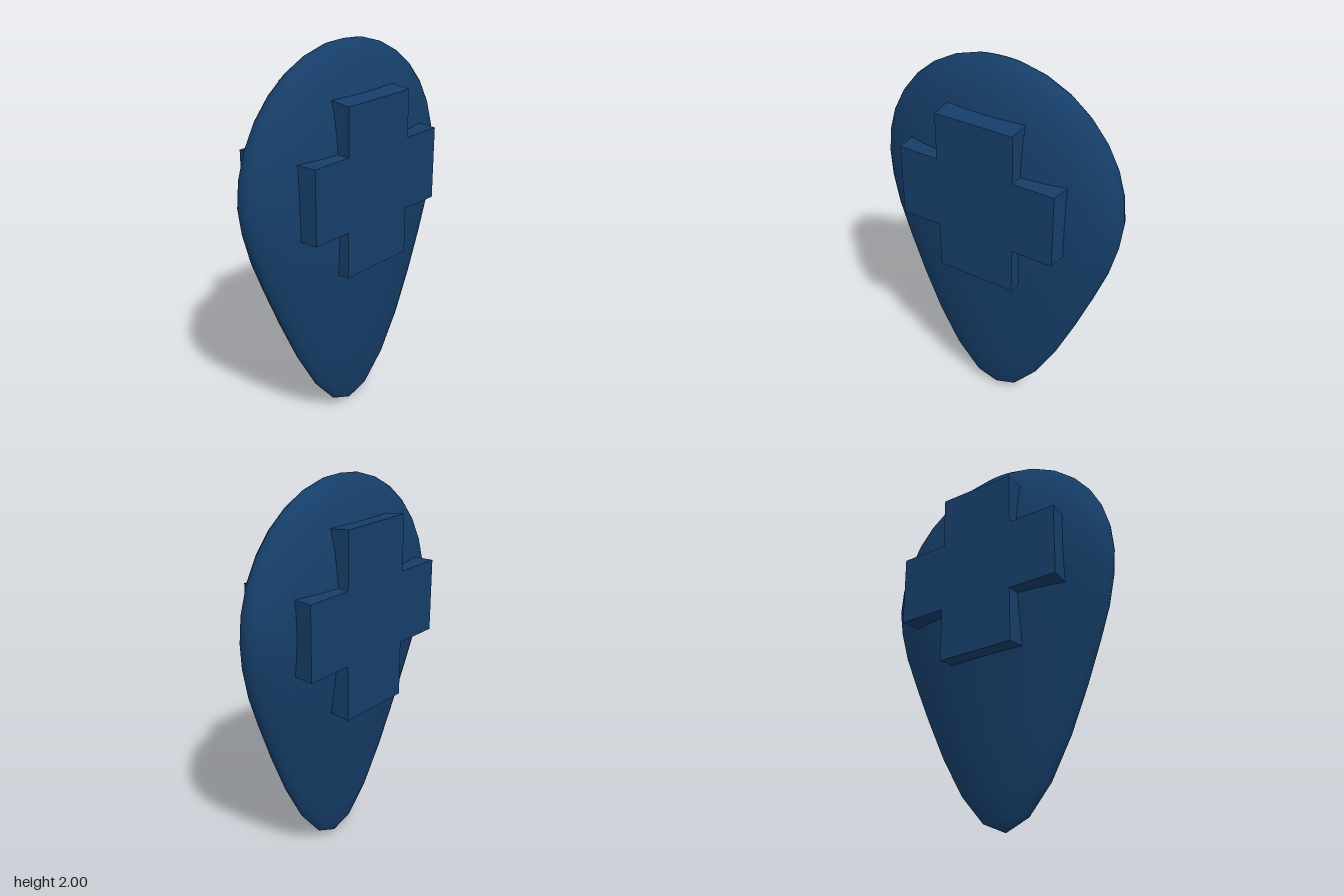
import * as THREE from 'three';
import { mergeVertices } from 'three/addons/utils/BufferGeometryUtils.js';

const CENTER_Y = 1.32;
const RADIUS = 0.68;

// Flattened sphere whose lower half is drawn out to a rounded tip that drifts forward
function createBody(material) {
  let geometry = new THREE.SphereGeometry(RADIUS, 32, 16);
  geometry.deleteAttribute('uv');
  geometry.deleteAttribute('normal');
  geometry = mergeVertices(geometry, 1e-4);

  // Heights of the rings from the widest one down to the tip
  const lower = [1.32, 1.19, 1.03, 0.86, 0.65, 0.42, 0.21, 0.06, 0];
  const p = geometry.attributes.position;
  for (let i = 0; i < p.count; i++) {
    let y = p.getY(i) + CENTER_Y;
    let shift = -0.004;
    if (p.getY(i) < -1e-4) {
      const ring = Math.round(Math.asin(Math.min(1, -p.getY(i) / RADIUS)) / (Math.PI / 16));
      y = lower[ring];
      shift = -0.004 + 0.044 * Math.sin((1 - y / CENTER_Y) * Math.PI / 2);
    }
    p.setXYZ(i, p.getX(i), y, p.getZ(i) * 0.272 + shift);
  }
  geometry.computeVertexNormals();
  const mesh = new THREE.Mesh(geometry, material);
  mesh.name = 'teardropBody';
  return mesh;
}

// Cross running through the body, its arms slightly longer at the back
function createCross(material) {
  const arm = 0.432, w = 0.213, h = 0.19, depth = 0.46;
  const shape = new THREE.Shape([
    [w, h], [w, arm], [-w, arm], [-w, h], [-arm, h], [-arm, -h],
    [-w, -h], [-w, -arm], [w, -arm], [w, -h], [arm, -h], [arm, h],
  ].map(([x, y]) => new THREE.Vector2(x, y)));
  const geometry = new THREE.ExtrudeGeometry(shape, { depth, bevelEnabled: false });
  geometry.translate(0, 0, -depth / 2);

  // Lengthen only the arm ends toward the back
  const p = geometry.attributes.position;
  for (let i = 0; i < p.count; i++) {
    const x = p.getX(i), y = p.getY(i);
    const extra = p.getZ(i) < 0 ? 0.045 : 0;
    if (Math.abs(x) > 0.4) p.setX(i, x + Math.sign(x) * extra);
    if (Math.abs(y) > 0.4) p.setY(i, y + Math.sign(y) * extra);
  }
  geometry.computeVertexNormals();
  const mesh = new THREE.Mesh(geometry, material);
  mesh.name = 'cross';
  mesh.position.y = CENTER_Y + 0.003;
  return mesh;
}

export function createModel() {
  const group = new THREE.Group();
  group.name = 'teardropWithCross';
  const blue = new THREE.MeshStandardMaterial({ color: 0x163e69 });
  group.add(createBody(blue), createCross(blue));
  return group;
}
